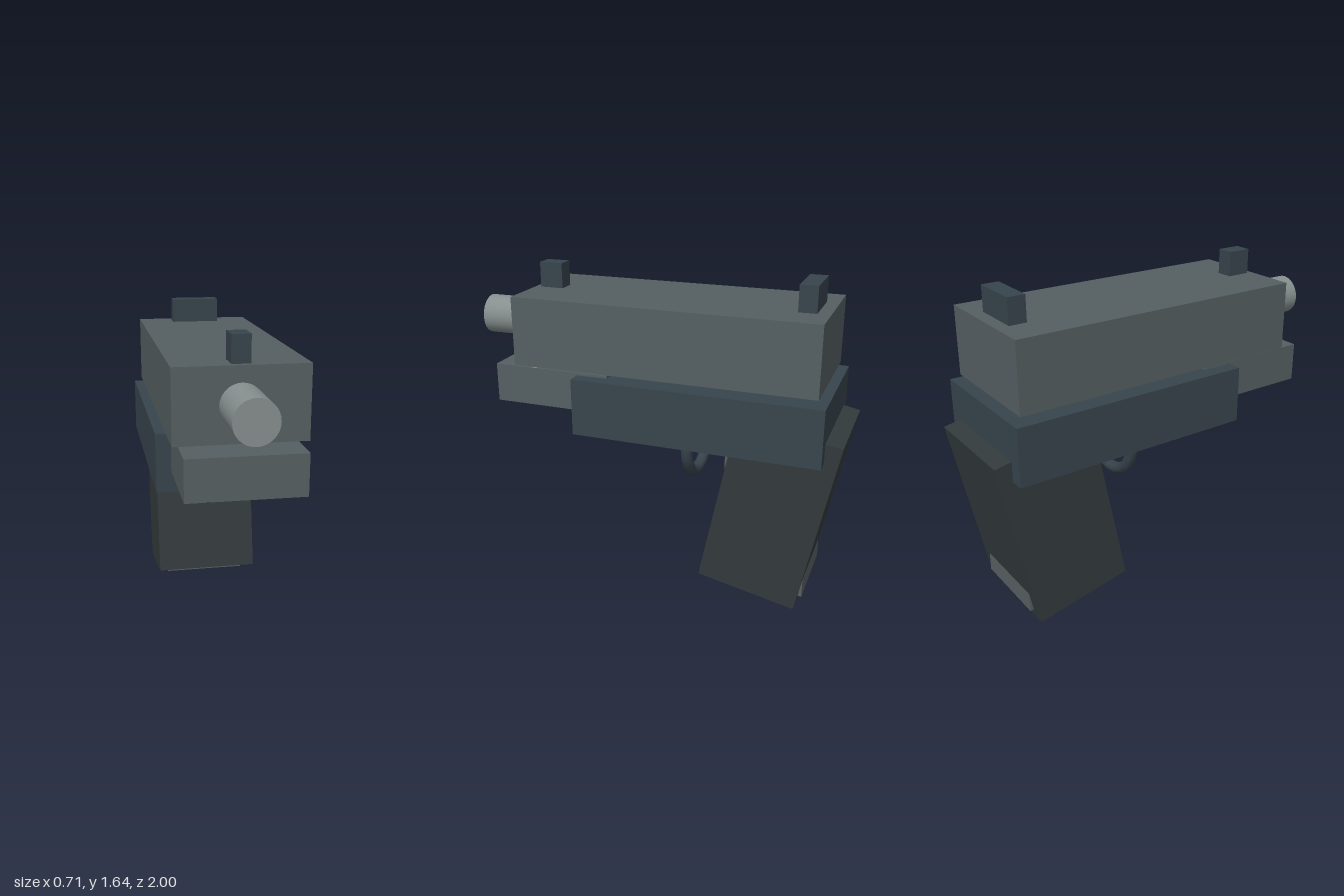
import * as THREE from 'three';

const mat = (color) => new THREE.MeshStandardMaterial({ color });
const steel = mat(0x555f62);
const frameGrey = mat(0x37444c);
const gripGrey = mat(0x333a3c);
const barrelGrey = mat(0x868e8e);
const magazineGrey = mat(0x585e61);
const orange = mat(0xf57c00);

export function createModel() {
  const model = new THREE.Group();
  model.name = 'toyPistol';

  const add = (name, geometry, material, x, y, z) => {
    const mesh = new THREE.Mesh(geometry, material);
    mesh.name = name;
    mesh.position.set(x, y, z);
    model.add(mesh);
    return mesh;
  };
  // Box centred on x, given its width and its y and z ranges
  const box = (name, material, width, y0, y1, z0, z1) =>
    add(name, new THREE.BoxGeometry(width, y1 - y0, z1 - z0), material, 0, (y0 + y1) / 2, (z0 + z1) / 2);

  // Upper body
  box('slide', steel, 0.63, 1.16, 1.515, -0.87, 0.7);
  box('frontSight', frameGrey, 0.09, 1.51, 1.645, 0.545, 0.67);
  box('rearSight', frameGrey, 0.26, 1.51, 1.645, -0.805, -0.715);
  const barrel = add('barrel', new THREE.CylinderGeometry(0.103, 0.103, 0.4, 32), barrelGrey, 0, 1.335, 0.8);
  barrel.rotation.x = Math.PI / 2;

  // Lower body
  box('frame', frameGrey, 0.71, 0.835, 1.13, -0.91, 0.365);
  box('dustCover', steel, 0.56, 0.94, 1.142, 0.2, 0.83);

  // Small orange pin resting in the top of the dust cover
  const pin = add('pin', new THREE.CylinderGeometry(0.02, 0.02, 0.148, 12), orange, 0.204, 1.13, 0.61);
  pin.rotation.z = Math.PI / 2;

  // Ring below the frame
  add('triggerGuard', new THREE.TorusGeometry(0.193, 0.031, 8, 20), frameGrey, 0, 0.778, -0.197);

  // Raked grip with an upright magazine passing through it
  const grip = add('grip', new THREE.BoxGeometry(0.56, 0.935, 0.52), gripGrey, 0, 0.514, -0.648);
  grip.rotation.x = -0.2;
  box('magazine', magazineGrey, 0.445, 0.05, 0.9, -0.84, -0.41);

  return model;
}
